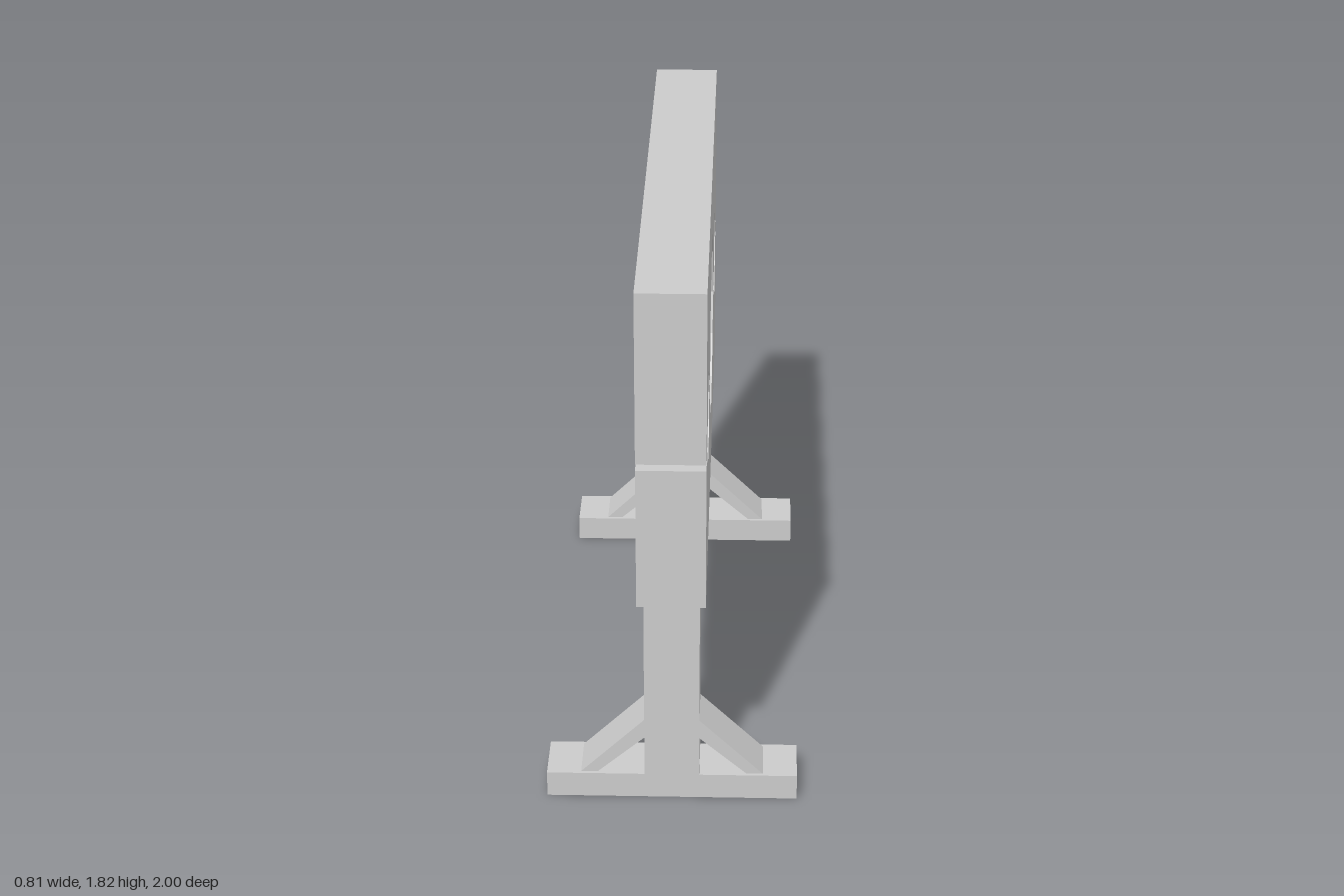
import * as THREE from 'three';

const material = new THREE.MeshStandardMaterial({ color: 0xcccccc, flatShading: true });

// Extrudes an outline of [x, y] points, centred on its depth
function slab(name, points, depth) {
  const shape = new THREE.Shape(points.map(([x, y]) => new THREE.Vector2(x, y)));
  const geometry = new THREE.ExtrudeGeometry(shape, { depth, bevelEnabled: false });
  geometry.translate(0, 0, -depth / 2);
  const mesh = new THREE.Mesh(geometry, material);
  mesh.name = name;
  return mesh;
}

// Wrist and neck openings: centre z, centre y, radius
const openings = [
  [-0.632, 1.252, 0.161],
  [0.01, 1.272, 0.308],
  [0.653, 1.25, 0.156],
];

// Half of the split board; dir is +1 for the upper half, -1 for the lower
function board(name, splitY, outerY, dir) {
  const points = [[-1, outerY], [-1, splitY]];
  for (const [z, y, r] of openings) {
    for (let i = 0; i <= 6; i++) {
      const a = Math.PI * (1 - i / 6);
      const onSplit = i === 0 || i === 6;
      points.push([z + r * Math.cos(a), onSplit ? splitY : y + dir * r * Math.sin(a)]);
    }
  }
  points.push([1, splitY], [1, outerY]);
  const mesh = slab(name, points, 0.217);
  mesh.rotation.y = -Math.PI / 2; // outline runs along z
  return mesh;
}

// Post on a crosswise foot with two diagonal braces
function stand(name, z) {
  const group = new THREE.Group();
  group.name = name;
  const post = 0.089, foot = 0.407, footTop = 0.088;
  group.add(slab('postAndFoot', [
    [-foot, 0], [foot, 0], [foot, footTop], [post, footTop],
    [post, 0.757], [-post, 0.757], [-post, footTop], [-foot, footTop],
  ], 0.18));
  for (const s of [-1, 1]) {
    group.add(slab(s > 0 ? 'leftBrace' : 'rightBrace', [
      [s * post, 0.29], [s * post, 0.222], [s * 0.242, footTop], [s * 0.296, footTop],
    ], 0.158));
  }
  group.position.z = z;
  return group;
}

export function createModel() {
  const model = new THREE.Group();
  model.name = 'pillory';
  model.add(
    board('upperBoard', 1.258, 1.824, 1),
    board('lowerBoard', 1.237, 0.757, -1),
    stand('frontStand', 0.847),
    stand('backStand', -0.862),
  );
  return model;
}
